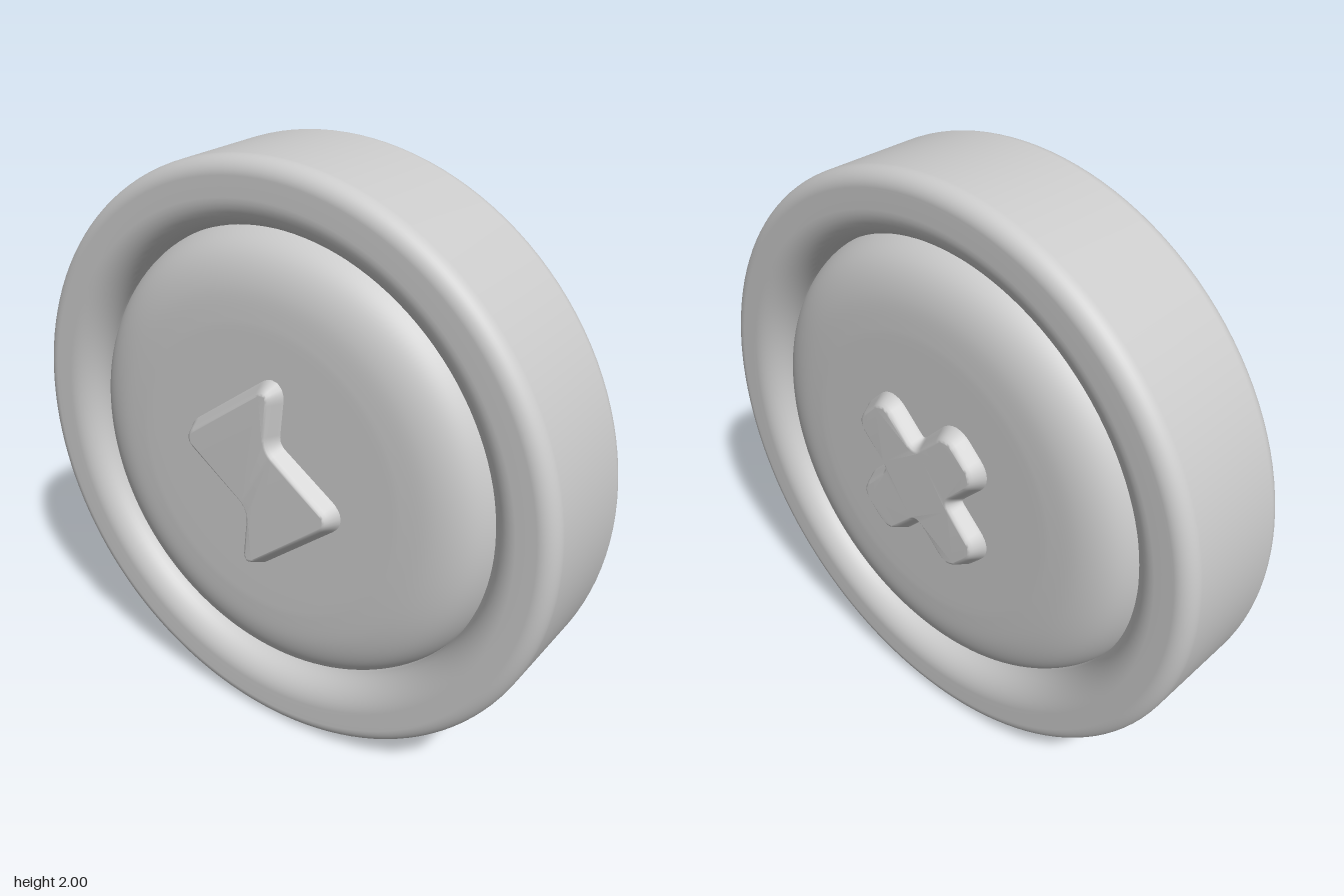
import * as THREE from 'three';
import { mergeVertices } from 'three/addons/utils/BufferGeometryUtils.js';

const material = new THREE.MeshStandardMaterial({ color: 0xcccccc });

// Quarter of an ellipse as profile points (radius, depth)
function arc(cx, cy, rx, ry, startDeg, steps = 10) {
  return Array.from({ length: steps + 1 }, (_, i) => {
    const a = THREE.MathUtils.degToRad(startDeg + (90 * i) / steps);
    return new THREE.Vector2(cx + rx * Math.cos(a), cy + ry * Math.sin(a));
  });
}

// Revolve a profile about the z axis
function revolve(name, profile) {
  const mesh = new THREE.Mesh(new THREE.LatheGeometry(profile, 128).rotateX(Math.PI / 2), material);
  mesh.name = name;
  return mesh;
}

// Closed polygon with every corner rounded
function roundedShape(corners, radius) {
  const pts = corners.map(([x, y]) => new THREE.Vector2(x, y));
  const shape = new THREE.Shape();
  pts.forEach((p, i) => {
    const prev = pts[(i + pts.length - 1) % pts.length];
    const next = pts[(i + 1) % pts.length];
    const a = p.clone().add(prev.clone().sub(p).setLength(radius));
    const b = p.clone().add(next.clone().sub(p).setLength(radius));
    if (i === 0) shape.moveTo(a.x, a.y);
    else shape.lineTo(a.x, a.y);
    shape.quadraticCurveTo(p.x, p.y, b.x, b.y);
  });
  shape.closePath();
  return shape;
}

// Raised emblem whose walls swell softly out of the face
function emblem(name, shape) {
  const depth = 0.02, rise = 0.058, flare = 0.04;
  let geo = new THREE.ExtrudeGeometry(shape, {
    depth, bevelThickness: rise, bevelSize: flare, bevelSegments: 10, curveSegments: 8,
  });
  const pos = geo.attributes.position;
  for (let i = 0; i < pos.count; i++) {
    const h = (pos.getZ(i) - depth) / rise;
    if (h < 0) continue;
    const out = Math.sqrt(Math.max(0, 1 - h * h));
    pos.setZ(i, depth + rise * (1 - THREE.MathUtils.smoothstep(out, 0, 1)));
  }
  geo.deleteAttribute('normal');
  geo.deleteAttribute('uv');
  geo = mergeVertices(geo, 1e-5);
  geo.computeVertexNormals();
  const mesh = new THREE.Mesh(geo, material);
  mesh.name = name;
  mesh.position.z = 0.298 - depth - rise;
  return mesh;
}

export function createModel() {
  const model = new THREE.Group();
  model.name = 'token';
  const body = new THREE.Group();
  body.name = 'body';
  body.position.y = 1;
  model.add(body);

  // Outer ring: small outer rounding, broad inner rounding
  const inner = new THREE.Vector2(0.78, 0);
  body.add(revolve('rim', [
    inner,
    ...arc(0.88, -0.13, 0.1, 0.1, 180),
    ...arc(0.945, -0.175, 0.055, 0.055, 270),
    ...arc(0.945, 0.175, 0.055, 0.055, 0),
    ...arc(0.88, 0.13, 0.1, 0.1, 90),
    inner.clone(),
  ]));

  // Pillow-shaped centre disc, alike on both faces
  const half = new THREE.SplineCurve([
    [0.79, 0.06], [0.775, 0.12], [0.74, 0.175], [0.69, 0.212],
    [0.62, 0.235], [0.53, 0.244], [0.42, 0.246], [0, 0.246],
  ].map(([r, z]) => new THREE.Vector2(r, z))).getPoints(40);
  half[half.length - 1].x = 0;
  const back = half.map((p) => new THREE.Vector2(p.x, -p.y)).reverse();
  body.add(revolve('centreDisc', [...back, ...half]));

  // Lightning bolt on the front
  body.add(emblem('boltEmblem', roundedShape([
    [0.06, 0.33], [-0.28, 0.075], [-0.02, -0.11],
    [-0.045, -0.325], [0.29, -0.055], [0.035, 0.12],
  ], 0.05)));

  // Diagonal cross on the back
  const L = 0.275, w = 0.08;
  const cross = emblem('crossEmblem', roundedShape([
    [L, -w], [L, w], [w, w], [w, L], [-w, L], [-w, w],
    [-L, w], [-L, -w], [-w, -w], [-w, -L], [w, -L], [w, -w],
  ], 0.05));
  cross.rotation.z = Math.PI / 4;
  const backFace = new THREE.Group();
  backFace.name = 'backFace';
  backFace.rotation.y = Math.PI;
  backFace.add(cross);
  body.add(backFace);

  return model;
}
